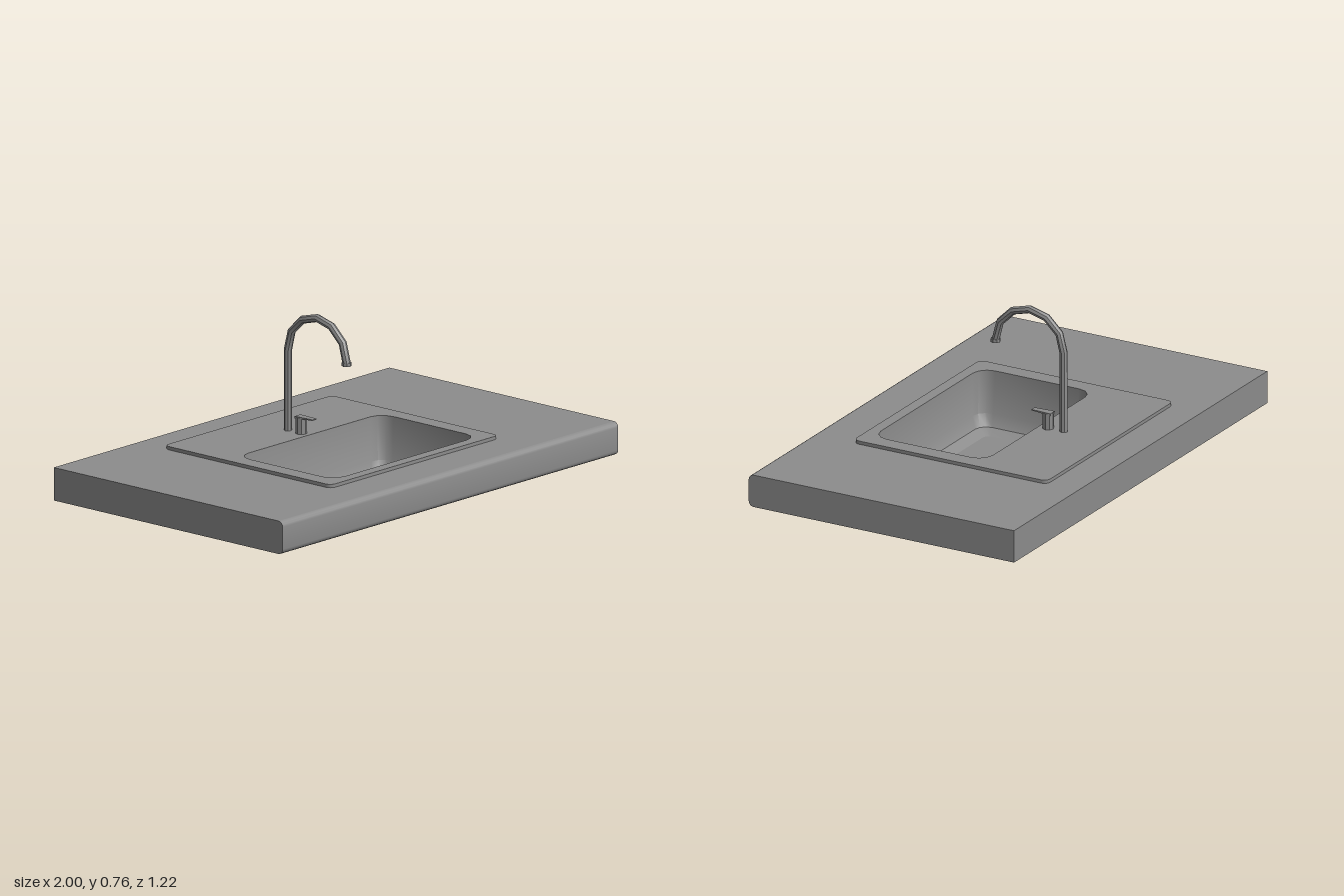
import * as THREE from 'three';
import { toCreasedNormals } from 'three/addons/utils/BufferGeometryUtils.js';

const material = new THREE.MeshStandardMaterial({ color: 0x8c8c8c, side: THREE.DoubleSide });
const CREASE = 0.6;

// Rounded rectangle in the x/z plane at height y
function ring(y, halfX, zBack, zFront, radius, segments = 3) {
  const points = [];
  const corners = [[1, 1], [-1, 1], [-1, -1], [1, -1]];
  corners.forEach(([sx, sz], q) => {
    const cx = sx * (halfX - radius);
    const cz = sz > 0 ? zFront - radius : zBack + radius;
    for (let i = 0; i <= segments; i++) {
      const a = (q + i / segments) * Math.PI / 2;
      points.push(new THREE.Vector3(cx + radius * Math.cos(a), y, cz + radius * Math.sin(a)));
    }
  });
  return points;
}

// Skin between successive rows of points
function loft(rows, closed = true) {
  const n = rows[0].length;
  const index = [];
  for (let k = 0; k < rows.length - 1; k++) {
    for (let j = 0; j < (closed ? n : n - 1); j++) {
      const a = k * n + j, b = k * n + (j + 1) % n;
      index.push(a, b, a + n, b, b + n, a + n);
    }
  }
  const geometry = new THREE.BufferGeometry().setFromPoints(rows.flat());
  geometry.setIndex(index);
  return toCreasedNormals(geometry, CREASE);
}

// Flat horizontal sheet facing up, with an optional hole
function sheet(outline, hole) {
  const flat = (points) => points.map((p) => new THREE.Vector2(p.x, -p.z));
  const shape = new THREE.Shape(flat(outline));
  if (hole) shape.holes.push(new THREE.Path(flat(hole)));
  return new THREE.ShapeGeometry(shape).rotateX(-Math.PI / 2).translate(0, outline[0].y, 0);
}

// Eight-sided faceted cylinder
const facetedCylinder = (radius, height) =>
  toCreasedNormals(new THREE.CylinderGeometry(radius, radius, height, 8), CREASE);

export function createModel() {
  const model = new THREE.Group();
  const add = (name, geometry, parent) => {
    const mesh = new THREE.Mesh(geometry, material);
    mesh.name = name;
    parent.add(mesh);
    return mesh;
  };
  const addGroup = (name, parent = model) => {
    const group = new THREE.Group();
    group.name = name;
    parent.add(group);
    return group;
  };

  // Worktop: hollow underneath, rounded front edge returning as a flange
  const worktop = addGroup('worktop');
  const top = 0.236, bottom = 0.1, depth = 0.61, r = 0.022;
  const front = [];
  for (let i = 0; i <= 4; i++) {
    const a = Math.PI / 2 * (1 - i / 4);
    front.push([depth - r + r * Math.cos(a), top - r + r * Math.sin(a)]);
  }
  for (let i = 0; i <= 4; i++) {
    const a = -Math.PI / 2 * i / 4;
    front.push([depth - r + r * Math.cos(a), bottom + r + r * Math.sin(a)]);
  }
  const across = ([z, y]) => [new THREE.Vector3(1, y, z), new THREE.Vector3(-1, y, z)];
  add('frontEdge', loft([...front, [0.455, bottom]].map(across), false), worktop);
  add('backEdge', loft([[-depth, bottom], [-depth, top]].map(across), false), worktop);
  const slab = [[-1, -depth], [-1, depth - r], [1, depth - r], [1, -depth]]
    .map(([x, z]) => new THREE.Vector3(x, top, z));
  const rimLower = ring(top, 0.5, -0.47, 0.42, 0.027, 4);
  add('worktopSurface', sheet(slab, rimLower), worktop);
  const side = new THREE.Shape([[-depth, bottom], [-depth, top], ...front]
    .map(([z, y]) => new THREE.Vector2(-z, y)));
  for (const s of [-1, 1]) {
    const end = new THREE.ShapeGeometry(side).rotateY(Math.PI / 2);
    if (s < 0) {
      end.setIndex(Array.from(end.index.array).reverse());
      end.computeVertexNormals();
    }
    add(s > 0 ? 'leftEnd' : 'rightEnd', end.translate(s, 0, 0), worktop);
  }

  // Sink: thin rim plate with a downturned edge, and a tapering basin
  const sink = addGroup('sink');
  const rimTop = 0.25;
  const rimOutline = ring(rimTop, 0.5, -0.47, 0.42, 0.027, 4);
  const basinRings = [
    ring(0.001, 0.35, -0.068, 0.305, 0.025),
    ring(0.022, 0.392, -0.112, 0.35, 0.05),
    ring(0.07, 0.417, -0.131, 0.371, 0.06),
    ring(rimTop, 0.428, -0.143, 0.373, 0.065),
  ];
  add('rimPlate', sheet(rimOutline, basinRings[3]), sink);
  add('rimEdge', loft([rimOutline, rimLower]), sink);
  add('basinWall', loft(basinRings), sink);
  add('basinFloor', sheet(basinRings[0]), sink);

  // Tap: faceted gooseneck spout with a nozzle
  const tap = addGroup('tap');
  const spine = [[-0.256, 0.25], [-0.256, 0.583], [-0.236, 0.663], [-0.178, 0.719],
    [-0.1, 0.74], [-0.023, 0.719], [0.036, 0.661], [0.057, 0.581]]
    .map(([z, y]) => new THREE.Vector3(0, y, z));
  // Eight-sided section mitred at every bend
  const spout = spine.map((p, i) => {
    const before = p.clone().sub(spine[Math.max(i - 1, 0)]).normalize();
    const after = spine[Math.min(i + 1, spine.length - 1)].clone().sub(p).normalize();
    const along = before.add(after).normalize();
    const out = new THREE.Vector3(0, along.z, -along.y);
    return Array.from({ length: 8 }, (_, j) => {
      const a = j / 8 * Math.PI * 2;
      return p.clone().addScaledVector(out, 0.0165 * Math.cos(a))
        .add(new THREE.Vector3(0.0165 * Math.sin(a), 0, 0));
    });
  });
  add('spout', loft(spout), tap);
  add('nozzle', facetedCylinder(0.02, 0.014), tap).position.set(0, 0.579, 0.057);

  // Mixer handle: short post with a flat lever pointing forward
  const handle = addGroup('handle', tap);
  add('handlePost', facetedCylinder(0.023, 0.068), handle).position.set(0, 0.284, -0.185);
  const lever = new THREE.BoxGeometry(0.036, 0.009, 0.09);
  const pos = lever.attributes.position;
  for (let i = 0; i < pos.count; i++) {
    if (pos.getZ(i) > 0) {
      pos.setX(i, pos.getX(i) * 0.7);
      if (pos.getY(i) < 0) pos.setY(i, 0.0005);
    }
  }
  lever.computeVertexNormals();
  add('handleLever', lever, handle).position.set(0, 0.3155, -0.16);

  return model;
}
